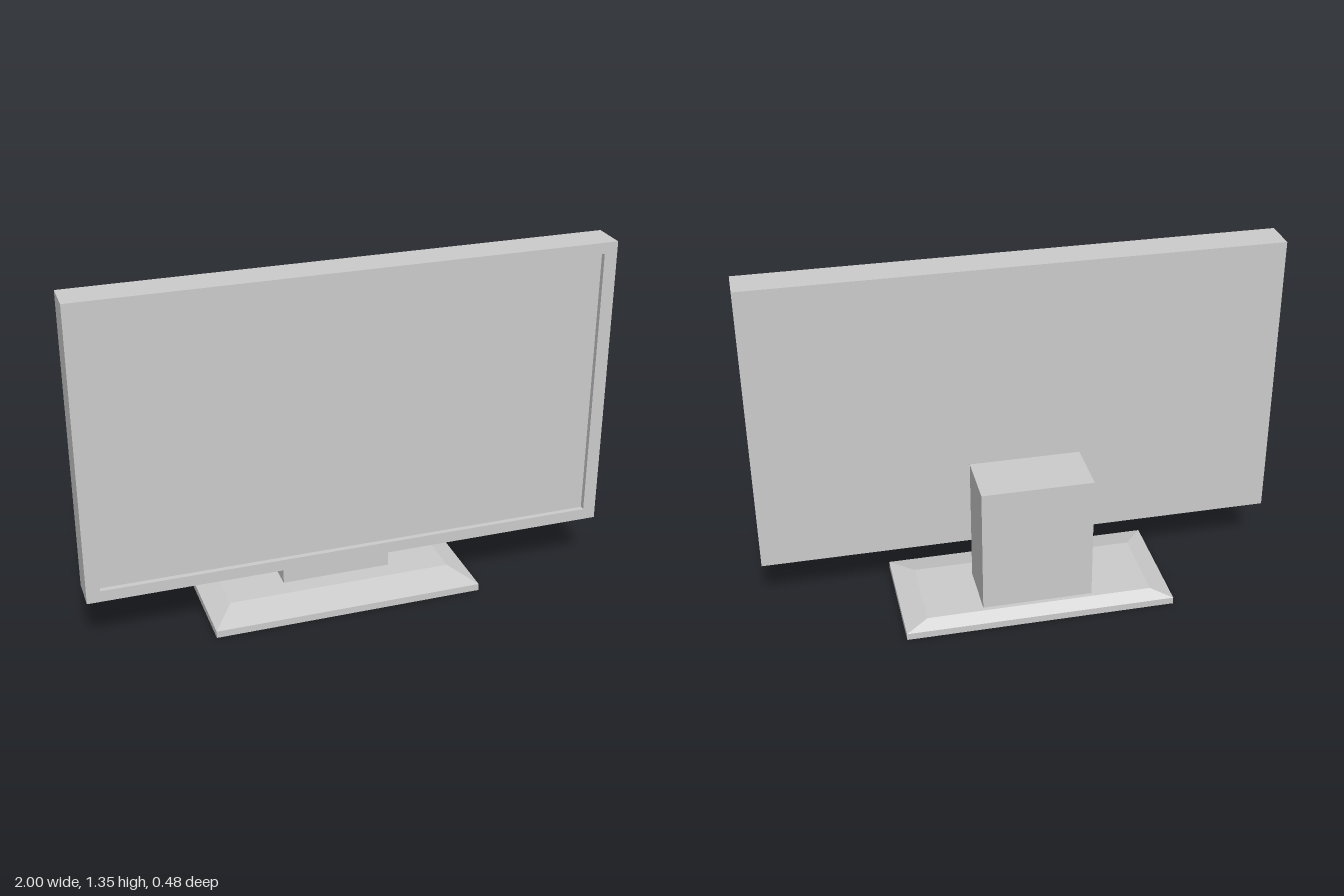
import * as THREE from 'three';

const material = new THREE.MeshStandardMaterial({ color: 0xcccccc, flatShading: true });

function add(group, name, geometry, x = 0, y = 0, z = 0) {
  const mesh = new THREE.Mesh(geometry, material);
  mesh.name = name;
  mesh.position.set(x, y, z);
  group.add(mesh);
}

// Trace a rectangle on a shape or path
function rect(path, x0, y0, x1, y1) {
  path.moveTo(x0, y0);
  path.lineTo(x1, y0);
  path.lineTo(x1, y1);
  path.lineTo(x0, y1);
  path.closePath();
  return path;
}

// Capped solid through stacked rectangles [y, x0, x1, z0, z1]
function loftRects(sections) {
  const positions = [];
  const index = [];
  sections.forEach(([y, x0, x1, z0, z1]) =>
    positions.push(x0, y, z1, x1, y, z1, x1, y, z0, x0, y, z0));
  for (let s = 0; s < sections.length - 1; s++) {
    for (let i = 0; i < 4; i++) {
      const a = s * 4 + i, b = s * 4 + (i + 1) % 4;
      index.push(a, b, b + 4, a, b + 4, a + 4);
    }
  }
  const t = (sections.length - 1) * 4;
  index.push(0, 2, 1, 0, 3, 2, t, t + 1, t + 2, t, t + 2, t + 3);
  const geometry = new THREE.BufferGeometry();
  geometry.setAttribute('position', new THREE.Float32BufferAttribute(positions, 3));
  geometry.setIndex(index);
  const flat = geometry.toNonIndexed();
  flat.computeVertexNormals();
  return flat;
}

export function createModel() {
  const group = new THREE.Group();
  group.name = 'monitor';

  const back = 0.057, front = 0.193, recess = 0.02;
  const bottom = 0.211, top = 1.347;
  const screenZ = front - recess;

  // Housing behind the recessed screen
  add(group, 'screenHousing', new THREE.BoxGeometry(2, top - bottom, screenZ - back),
    0, (top + bottom) / 2, (screenZ + back) / 2);

  // Raised bezel around the screen
  const frame = rect(new THREE.Shape(), -1, bottom, 1, top);
  frame.holes.push(rect(new THREE.Path(), -0.95, 0.255, 0.95, 1.305));
  add(group, 'bezel', new THREE.ExtrudeGeometry(frame, { depth: recess, bevelEnabled: false }),
    0, 0, screenZ);

  // Upright block behind the screen
  add(group, 'standColumn', new THREE.BoxGeometry(0.425, 0.504, 0.226), -0.018, 0.312, -0.07);

  // Foot with a short lip and sloping upper edges
  add(group, 'standBase', loftRects([
    [0, -0.545, 0.497, -0.238, 0.238],
    [0.027, -0.545, 0.497, -0.238, 0.238],
    [0.06, -0.46, 0.412, -0.2, 0.116],
  ]));

  return group;
}
